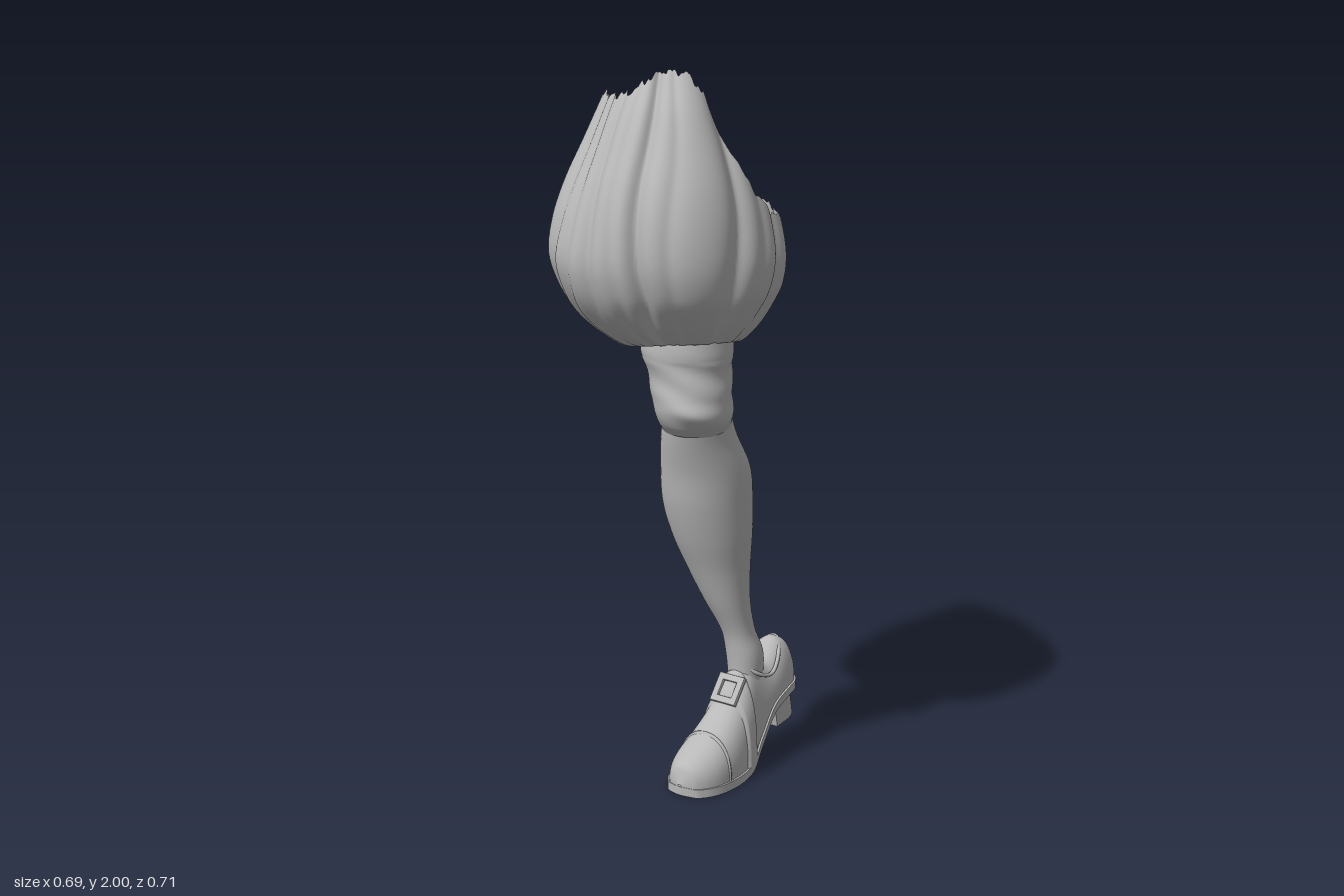
import * as THREE from 'three';
import { toCreasedNormals } from 'three/addons/utils/BufferGeometryUtils.js';

const grey = new THREE.MeshStandardMaterial({ color: 0xb8b8b8, side: THREE.DoubleSide });
grey.name = 'grey cloth and leather';

// Skin a list of rings (arrays of [x, y, z]) into one smooth surface
function loft(rings, closed = true) {
  const n = rings[0].length, index = [];
  const span = closed ? n : n - 1;
  for (let r = 0; r < rings.length - 1; r++) {
    for (let i = 0; i < span; i++) {
      const a = r * n + i, b = r * n + (i + 1) % n;
      index.push(a, b, b + n, a, b + n, a + n);
    }
  }
  const g = new THREE.BufferGeometry();
  g.setAttribute('position', new THREE.Float32BufferAttribute(rings.flat(2), 3));
  g.setIndex(index);
  g.computeVertexNormals();
  return g;
}

// Smooth body from rows of [y, xMin, xMax, zMin, zMax]
function body(rows) {
  const xs = new THREE.CatmullRomCurve3(rows.map(r => new THREE.Vector3(r[1], r[0], r[2])));
  const zs = new THREE.CatmullRomCurve3(rows.map(r => new THREE.Vector3(r[3], r[0], r[4])));
  return u => {
    const a = xs.getPoint(u), b = zs.getPoint(u);
    return { y: a.y, cx: (a.x + a.z) / 2, rx: (a.z - a.x) / 2, cz: (b.x + b.z) / 2, rz: (b.z - b.x) / 2 };
  };
}

const around = (s, th, k = 1, y = s.y) =>
  [s.cx + s.rx * k * Math.sin(th), y, s.cz + s.rz * k * Math.cos(th)];

function tubeBody(rows, steps, bulge = () => 0) {
  const at = body(rows), rings = [];
  for (let j = 0; j <= steps; j++) {
    const s = at(j / steps);
    rings.push(Array.from({ length: 64 }, (_, i) => {
      const th = i / 64 * Math.PI * 2;
      return around(s, th, 1 + bulge(th, s.y));
    }));
  }
  return loft(rings);
}

// Height of the torn rim by angle from the front, in degrees
const RIM = [[0, 2.0], [20, 1.99], [34, 1.94], [42, 1.86], [50, 1.76], [62, 1.67], [72, 1.62], [90, 1.6], [112, 1.61],
  [135, 1.65], [160, 1.72], [180, 1.77], [210, 1.82], [240, 1.88], [270, 1.92], [300, 1.925], [325, 1.94], [342, 1.98], [360, 2.0]];
function rimHeight(th) {
  const d = th * 180 / Math.PI;
  const i = Math.max(1, RIM.findIndex(r => r[0] >= d));
  const [a, b] = [RIM[i - 1], RIM[i]];
  const jag = 0.006 * Math.sin(th * 23) + 0.007 * Math.sin(th * 59) * Math.sin(th * 7 + 1);
  return Math.min(2, THREE.MathUtils.lerp(a[1], b[1], (d - a[0]) / (b[0] - a[0])) + jag);
}

// Valleys between the pleats: [angle in degrees, depth]
const VALLEYS = [[5, 0.04], [40, 0.1], [56, 0.05], [72, 0.08], [98, 0.05], [118, 0.05], [140, 0.06], [162, 0.06], [185, 0.06],
  [207, 0.1], [235, 0.15], [258, 0.06], [284, 0.06], [298, 0.07], [315, 0.09], [332, 0.05], [347, 0.14]];
function valleyDepth(th) {
  let sum = 0;
  for (const [deg, depth] of VALLEYS) {
    const a = th - deg * Math.PI / 180;
    const d = Math.atan2(Math.sin(a), Math.cos(a));
    sum += depth * Math.exp(0.4 - Math.hypot(d / 0.095, 0.4));
  }
  return sum;
}

// Puffed, gathered breeches with an open torn top
function breechesGeometry() {
  const at = body([
    [1.27, -0.08, 0.15, -0.04, 0.2], [1.25, -0.13, 0.17, -0.1, 0.215], [1.28, -0.2, 0.21, -0.165, 0.245],
    [1.35, -0.285, 0.26, -0.225, 0.3], [1.42, -0.325, 0.29, -0.26, 0.34], [1.5, -0.347, 0.3, -0.29, 0.36],
    [1.6, -0.333, 0.285, -0.32, 0.355], [1.7, -0.3, 0.255, -0.342, 0.33], [1.8, -0.255, 0.215, -0.355, 0.285],
    [1.9, -0.21, 0.17, -0.355, 0.228], [2.0, -0.165, 0.13, -0.35, 0.145]]);
  const cols = 240, rows = 44;
  const rings = Array.from({ length: rows + 1 }, () => []);
  for (let i = 0; i < cols; i++) {
    const th = i / cols * Math.PI * 2, rim = rimHeight(th);
    let lo = 0.1, hi = 1;
    for (let k = 0; k < 24; k++) {
      const mid = (lo + hi) / 2;
      if (at(mid).y < rim) lo = mid; else hi = mid;
    }
    const back = (1 - Math.cos(th)) / 2;
    for (let j = 0; j <= rows; j++) {
      const u = lo * j / rows, s = at(u);
      // Uneven pleats, slanting at the back, with finer gathers at the knee
      const phi = th - 1.1 * (s.y - 1.5) * back + 0.05 * Math.sin(9 * s.y + 3 * th);
      const puff = Math.min(1, u / 0.3);
      const gather = 0.028 * Math.sin(29 * th + Math.sin(4 * th)) * Math.min(1, u / 0.08) * Math.max(0, 1 - u / 0.4);
      const k = 1.01 - (0.3 + 0.7 * puff) * valleyDepth(phi) + gather + 0.008 * puff * Math.sin(5 * th + 9 * s.y);
      const tilt = (0.005 + 0.04 * Math.cos(th) + 0.01 * Math.sin(th)) * Math.max(0, 1 - u / 0.4);
      rings[j].push(around(s, th, k, Math.min(2, s.y + tilt)));
    }
  }
  return loft(rings);
}

// Shoe stations: [distance from heel, underside, top, half width]
const SHOE = [[0, 0.222, 0.228, 0.004], [0.004, 0.215, 0.28, 0.04], [0.03, 0.21, 0.335, 0.059], [0.07, 0.2, 0.345, 0.063],
  [0.13, 0.17, 0.295, 0.062], [0.2, 0.08, 0.322, 0.062], [0.25, 0.038, 0.272, 0.074], [0.3, 0.028, 0.21, 0.084],
  [0.36, 0.025, 0.16, 0.088], [0.42, 0.025, 0.126, 0.083], [0.46, 0.025, 0.104, 0.068], [0.49, 0.025, 0.08, 0.044], [0.505, 0.028, 0.034, 0.006]];
const lowCurve = new THREE.CatmullRomCurve3(SHOE.map(r => new THREE.Vector3(r[1], 0, r[0])));
const topCurve = new THREE.CatmullRomCurve3(SHOE.map(r => new THREE.Vector3(r[2], r[3], r[0])));

function station(u) {
  const a = lowCurve.getPoint(u), b = topCurve.getPoint(u);
  return { s: a.z, low: a.x, top: b.x, w: Math.max(0.002, b.y) };
}

// Domed leather between two stations, raised by an offset
function leather(u0, u1, steps, raise = 0) {
  const rings = [];
  for (let j = 0; j <= steps; j++) {
    const p = station(THREE.MathUtils.lerp(u0, u1, j / steps));
    const lift = raise && (j === 0 || j === steps) ? -0.003 : raise;
    rings.push(Array.from({ length: 33 }, (_, i) => {
      const a = Math.PI * i / 32, c = Math.cos(a);
      return [(p.w + lift) * Math.sign(c) * Math.pow(Math.abs(c), 0.9),
        p.low + (p.top + lift - p.low) * Math.pow(Math.sin(a), 0.85), p.s];
    }));
  }
  return loft(rings, false);
}

function soleGeometry() {
  const rings = [];
  for (let j = 0; j <= 60; j++) {
    const p = station(j / 60), w = p.w + 0.006, low = Math.max(0, p.low - 0.025);
    rings.push([[w, p.low, p.s], [-w, p.low, p.s], [-w, low, p.s], [w, low, p.s]]);
  }
  const flat = ring => ring.map(() => [0, (ring[0][1] + ring[2][1]) / 2, ring[0][2]]);
  return toCreasedNormals(loft([flat(rings[0]), ...rings, flat(rings[60])]), 0.7);
}

function heelGeometry() {
  const d = new THREE.Shape();
  d.moveTo(-0.058, 0.122);
  d.lineTo(-0.062, 0.07);
  d.bezierCurveTo(-0.06, -0.012, 0.06, -0.012, 0.062, 0.07);
  d.lineTo(0.058, 0.122);
  d.closePath();
  const g = new THREE.ExtrudeGeometry(d, { depth: 0.115, bevelEnabled: false, curveSegments: 20 });
  return toCreasedNormals(g.rotateX(Math.PI / 2), 0.6);
}

function buckleGeometry() {
  const box = (C, w, h) => {
    const c = new C();
    c.moveTo(-w, -h); c.lineTo(w, -h); c.lineTo(w, h); c.lineTo(-w, h); c.closePath();
    return c;
  };
  const frame = box(THREE.Shape, 0.04, 0.04);
  frame.holes.push(box(THREE.Path, 0.026, 0.026));
  return new THREE.ExtrudeGeometry(frame, { depth: 0.008, bevelSize: 0.003, bevelThickness: 0.003, bevelSegments: 2 });
}

export function createModel() {
  const model = new THREE.Group();
  model.name = 'breechesLegAndShoe';
  const add = (parent, name, geometry) => {
    const mesh = new THREE.Mesh(geometry, grey);
    mesh.name = name;
    parent.add(mesh);
    return mesh;
  };

  add(model, 'breeches', breechesGeometry());

  // Wrinkled knee band under the gathers
  add(model, 'kneeBand', tubeBody([
    [1.31, -0.088, 0.152, -0.052, 0.21], [1.25, -0.095, 0.16, -0.056, 0.218], [1.2, -0.08, 0.157, -0.052, 0.217],
    [1.13, -0.066, 0.157, -0.042, 0.23], [1.09, -0.06, 0.159, -0.036, 0.238], [1.05, -0.046, 0.157, -0.034, 0.215],
    [1.02, -0.036, 0.153, -0.032, 0.178]], 48,
  (th, y) => (y < 1.23 ? 0.016 : 0.004) * Math.sin(75 * y + 2.4 * Math.sin(th + 0.6) + 1.3 * Math.sin(2 * th))));

  // Stockinged calf and ankle
  add(model, 'stocking', tubeBody([
    [1.1, -0.03, 0.145, -0.03, 0.2], [1.0, -0.04, 0.17, -0.05, 0.168], [0.9, -0.042, 0.208, -0.09, 0.142],
    [0.8, -0.038, 0.216, -0.114, 0.125], [0.7, -0.012, 0.216, -0.108, 0.102], [0.6, 0.03, 0.211, -0.1, 0.073],
    [0.5, 0.077, 0.211, -0.096, 0.05], [0.4, 0.128, 0.226, -0.098, 0.026], [0.33, 0.142, 0.25, -0.105, 0.024],
    [0.25, 0.15, 0.25, -0.1, 0.02]], 50));

  // Shoe, turned outward with its heel lifted
  const shoe = new THREE.Group();
  shoe.name = 'shoe';
  shoe.position.set(0.31, 0, -0.18);
  shoe.rotation.y = -0.623;
  model.add(shoe);
  add(shoe, 'upper', leather(0, 1, 60));
  add(shoe, 'sole', soleGeometry());
  add(shoe, 'strap', leather(0.47, 0.57, 8, 0.007));
  add(shoe, 'toeCapSeam', leather(0.69, 0.705, 4, 0.003));
  const heel = add(shoe, 'heel', heelGeometry());
  heel.position.set(0, 0.228, 0.012);
  heel.rotation.x = 0.2;
  const buckle = add(shoe, 'buckle', buckleGeometry());
  buckle.position.set(0, 0.243, 0.272);
  buckle.rotation.x = -0.66;

  // Collar edge around the ankle
  const collar = new THREE.CatmullRomCurve3([[0, 0.342, 0.045], [0.04, 0.315, 0.08], [0.057, 0.265, 0.14], [0.045, 0.285, 0.205],
    [0, 0.32, 0.222], [-0.045, 0.285, 0.205], [-0.057, 0.265, 0.14], [-0.04, 0.315, 0.08]].map(p => new THREE.Vector3(...p)), true);
  add(shoe, 'collar', new THREE.TubeGeometry(collar, 64, 0.006, 8, true));
  return model;
}
